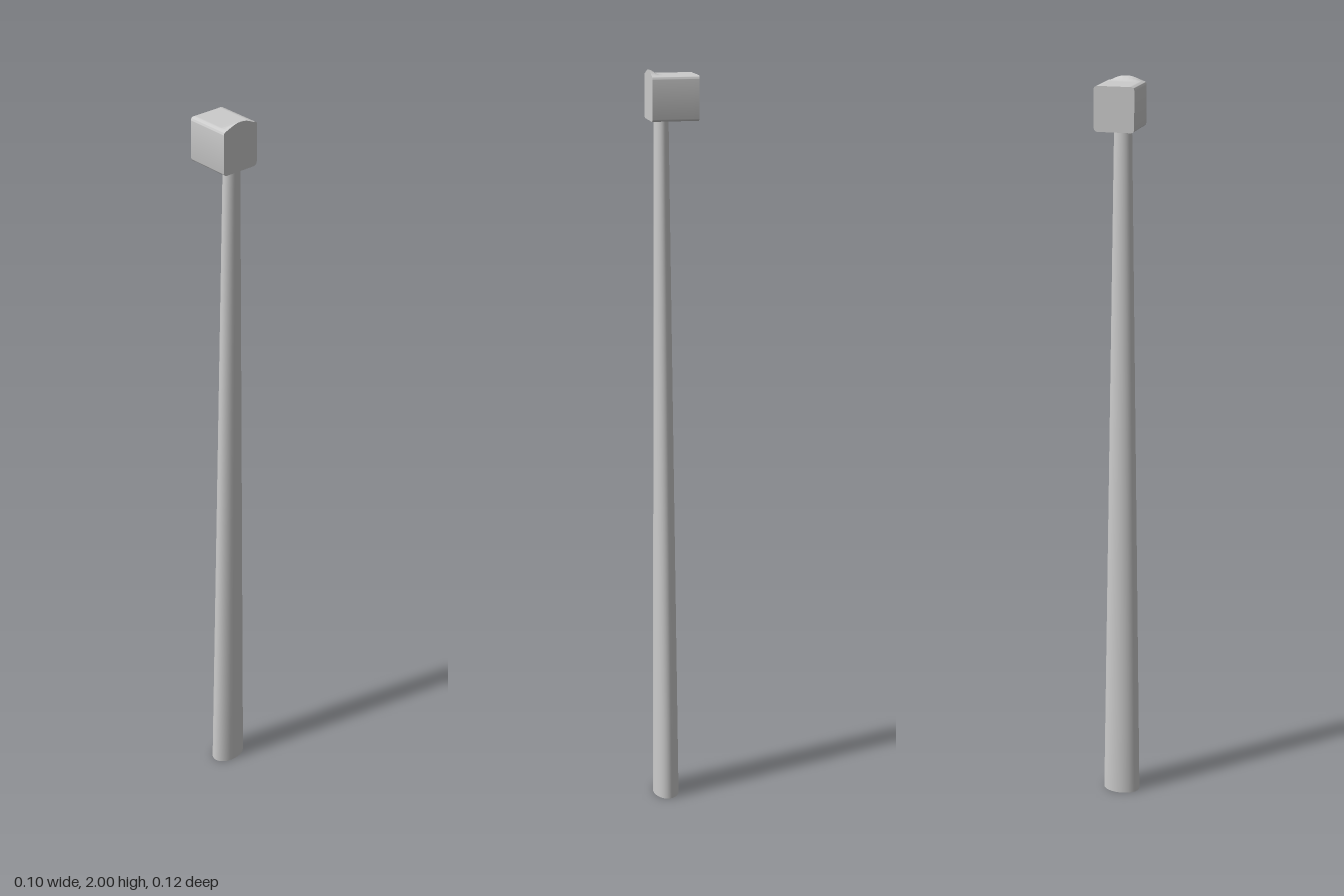
import * as THREE from 'three';
import { toCreasedNormals } from 'three/addons/utils/BufferGeometryUtils.js';

const material = new THREE.MeshStandardMaterial({ color: 0xcccccc, side: THREE.DoubleSide });

// Tapered oval shaft, open at both ends, with its front side nearly upright
function makeHandle() {
  const height = 1.885;
  const geometry = new THREE.CylinderGeometry(1, 1, height, 32, 8, true);
  geometry.translate(0, height / 2, 0);
  const p = geometry.attributes.position;
  for (let i = 0; i < p.count; i++) {
    const t = p.getY(i) / height;
    const halfWidth = THREE.MathUtils.lerp(0.051, 0.023, t);
    const front = THREE.MathUtils.lerp(0.053, 0.046, t);
    const back = THREE.MathUtils.lerp(-0.018, 0.009, t);
    p.setX(i, p.getX(i) * halfWidth);
    p.setZ(i, (front + back) / 2 + p.getZ(i) * (front - back) / 2);
  }
  geometry.computeVertexNormals();
  const handle = new THREE.Mesh(geometry, material);
  handle.name = 'handle';
  return handle;
}

// Block with rounded long edges and a small arched lip rising at the top front
function makeHead() {
  const w = 0.052, bottom = 1.875, top = 1.988, r = 0.009, depth = 0.12;
  const shape = new THREE.Shape();
  shape.moveTo(-w + r, bottom);
  shape.lineTo(w - r, bottom);
  shape.absarc(w - r, bottom + r, r, -Math.PI / 2, 0);
  shape.lineTo(w, top - r);
  shape.absarc(w - r, top - r, r, 0, Math.PI / 2);
  for (let i = 1; i < 16; i++) shape.lineTo((w - r) * (1 - i / 8), top);
  shape.absarc(-w + r, top - r, r, Math.PI / 2, Math.PI);
  shape.lineTo(-w, bottom + r);
  shape.absarc(-w + r, bottom + r, r, Math.PI, Math.PI * 1.5);

  const geometry = new THREE.ExtrudeGeometry(shape, {
    depth, steps: 24, curveSegments: 5, bevelEnabled: false,
  });
  geometry.translate(0, 0, -depth / 2);
  const p = geometry.attributes.position;
  for (let i = 0; i < p.count; i++) {
    if (p.getY(i) < top - 0.0005) continue;
    const across = Math.max(0, 1 - (p.getX(i) / 0.04) ** 2);
    const along = THREE.MathUtils.smoothstep(p.getZ(i), 0.033, 0.06);
    p.setY(i, p.getY(i) + 0.012 * across * along);
  }
  const head = new THREE.Mesh(toCreasedNormals(geometry, 0.7), material);
  head.name = 'head';
  return head;
}

export function createModel() {
  const group = new THREE.Group();
  group.name = 'mallet';
  group.add(makeHandle(), makeHead());
  return group;
}
